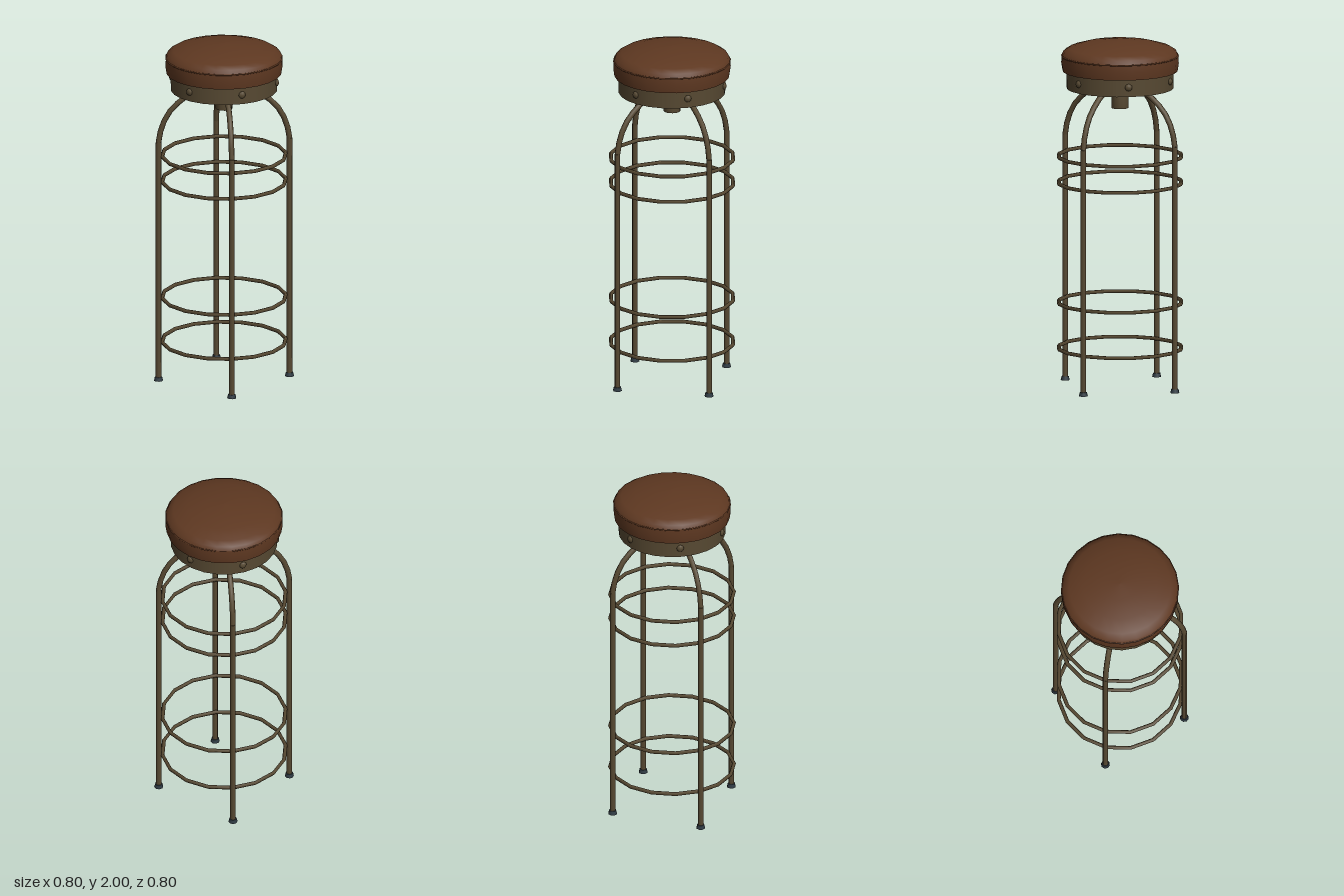
import * as THREE from 'three';

const mat = (name, color, side = THREE.FrontSide) => {
  const m = new THREE.MeshStandardMaterial({ color, side });
  m.name = name;
  return m;
};

export function createModel() {
  const leather = mat('brown leather', 0x5e3821);
  const metal = mat('aged bronze metal', 0x574932);
  const rubber = mat('dark slate', 0x2e3a42);
  const stool = new THREE.Group();
  stool.name = 'barStool';

  const add = (name, geometry, material, parent = stool) => {
    const mesh = new THREE.Mesh(geometry, material);
    mesh.name = name;
    parent.add(mesh);
    return mesh;
  };
  const lathe = (pts, sides) =>
    new THREE.LatheGeometry(pts.map(([r, y]) => new THREE.Vector2(r, y)), sides);

  // Padded seat: domed top, piped seam, side wall and underside
  add('seatDome', lathe([[0.333, 1.912], [0.322, 1.937], [0.29, 1.957], [0.21, 1.98],
    [0.1, 1.996], [0, 2]], 24), leather);
  add('seatSide', lathe([[0.328, 1.825], [0.335, 1.87], [0.333, 1.912]], 24), leather);
  add('seatUnderside', lathe([[0, 1.822], [0.328, 1.825]], 24), leather);
  const seam = add('seatSeam', new THREE.TorusGeometry(0.331, 0.005, 5, 24), leather);
  seam.rotation.x = Math.PI / 2;
  seam.position.y = 1.912;

  // Metal band below the cushion, with a dark lining
  add('seatBand', lathe([[0.304, 1.725], [0.306, 1.828]], 24), metal);
  add('bandRim', lathe([[0.296, 1.725], [0.304, 1.725]], 24), metal);
  add('bandLining', lathe([[0.296, 1.825], [0.296, 1.725]], 24), rubber);

  // Six rivets around the band
  for (let i = 0; i < 6; i++) {
    const a = THREE.MathUtils.degToRad(13 + 60 * i);
    const rivet = add('rivet', new THREE.SphereGeometry(0.021, 8, 6), metal);
    rivet.scale.z = 0.6;
    rivet.rotation.y = a;
    rivet.position.set(Math.sin(a) * 0.305, 1.78, Math.cos(a) * 0.305);
  }

  // Mounting plate and hollow swivel post
  add('mountingPlate', new THREE.BoxGeometry(0.24, 0.03, 0.24), rubber).position.y = 1.81;
  add('swivelPost', lathe([[0.036, 1.8], [0.036, 1.61], [0.049, 1.61], [0.049, 1.75],
    [0.03, 1.75], [0.03, 1.81]], 12), metal);

  // Four legs: straight tube, arched shoulder and rubber foot
  const arch = new THREE.CatmullRomCurve3([[0.375, 1.42], [0.357, 1.51], [0.312, 1.6],
    [0.235, 1.675], [0.145, 1.727], [0.03, 1.737]].map(([x, y]) => new THREE.Vector3(x, y, 0)));
  for (let i = 0; i < 4; i++) {
    const leg = new THREE.Group();
    leg.name = 'leg';
    leg.rotation.y = i * Math.PI / 2;
    add('legTube', new THREE.CylinderGeometry(0.016, 0.016, 1.41, 8), metal, leg)
      .position.set(0.375, 0.715, 0);
    add('legArch', new THREE.TubeGeometry(arch, 8, 0.016, 8), metal, leg);
    add('foot', new THREE.CylinderGeometry(0.021, 0.026, 0.022, 8), rubber, leg)
      .position.set(0.375, 0.011, 0);
    stool.add(leg);
  }

  // Four hoops inside the legs
  for (const y of [0.225, 0.488, 1.18, 1.332]) {
    const hoop = add('hoop', new THREE.TorusGeometry(0.353, 0.011, 6, 16), metal);
    hoop.rotation.x = Math.PI / 2;
    hoop.position.y = y;
  }
  return stool;
}
